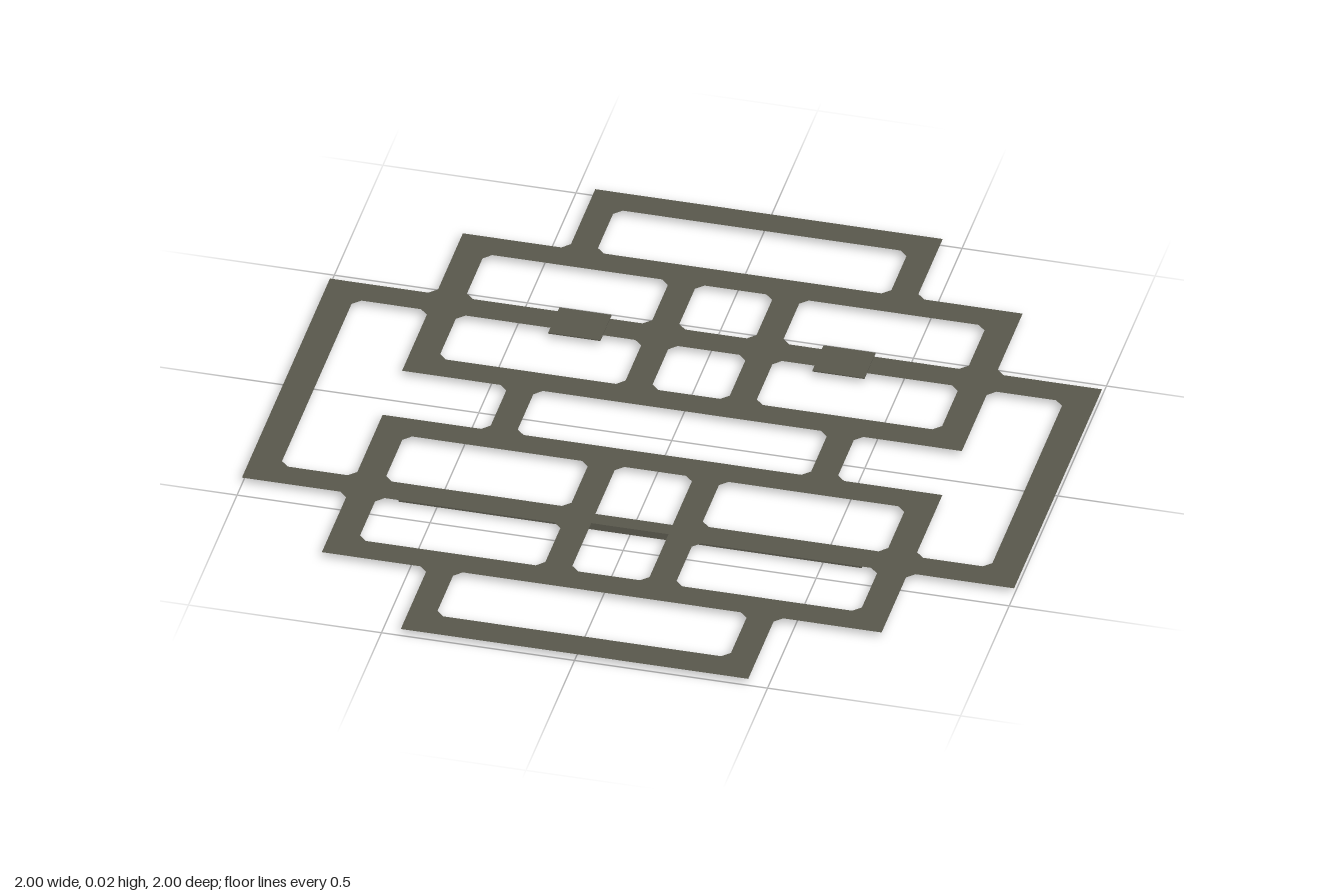
import * as THREE from 'three';

const PLANE_Y = 0.02;   // height of the flat lattice
const CHAMFER = 0.02;   // small gusset in every inside corner

// Cuts the corners that turn in the given direction; points are [x, z] pairs
function chamfered(points, turn) {
  const out = [];
  const n = points.length;
  points.forEach(([x, z], i) => {
    const [px, pz] = points[(i + n - 1) % n];
    const [nx, nz] = points[(i + 1) % n];
    const cross = (x - px) * (nz - z) - (z - pz) * (nx - x);
    if (cross * turn <= 0) return out.push(new THREE.Vector2(x, -z));
    for (const [qx, qz] of [[px, pz], [nx, nz]]) {
      const d = CHAMFER / Math.hypot(qx - x, qz - z);
      out.push(new THREE.Vector2(x + (qx - x) * d, -(z + (qz - z) * d)));
    }
  });
  return out;
}

const rect = (x0, x1, z0, z1) => [[x0, z0], [x1, z0], [x1, z1], [x0, z1]];
const mirror = (points) => points.map(([x, z]) => [-x, z]).reverse();

export function createModel() {
  const model = new THREE.Group();
  const metal = new THREE.MeshStandardMaterial({ color: 0x5a594d });
  metal.side = THREE.DoubleSide;

  const add = (name, geometry, x, y, z) => {
    const mesh = new THREE.Mesh(geometry, metal);
    mesh.name = name;
    mesh.position.set(x, y, z);
    model.add(mesh);
  };

  // Stepped outline, right half then mirrored
  const half = [
    [0.45, -1], [0.45, -0.73], [0.725, -0.73], [0.725, -0.455], [1, -0.455],
    [1, 0.45], [0.725, 0.45], [0.725, 0.72], [0.45, 0.72], [0.45, 1],
  ];
  const lattice = new THREE.Shape(chamfered([...half, ...mirror(half)], -1));

  // Openings on the centre line
  const openings = [
    rect(-0.38, 0.38, -0.925, -0.73),
    rect(-0.1, 0.1, -0.655, -0.455),
    rect(-0.1, 0.1, -0.38, -0.18),
    rect(-0.38, 0.38, -0.105, 0.095),
    rect(-0.1, 0.1, 0.17, 0.645),
    rect(-0.38, 0.38, 0.72, 0.92),
  ];
  // Openings repeated on both sides, including the stepped outer loop
  const sideOpenings = [
    rect(0.17, 0.65, -0.655, -0.455),
    rect(0.17, 0.65, -0.38, -0.18),
    rect(0.17, 0.65, 0.17, 0.375),
    rect(0.17, 0.65, 0.45, 0.645),
    [[0.725, -0.38], [0.92, -0.38], [0.92, 0.375], [0.725, 0.375],
      [0.725, 0.095], [0.45, 0.095], [0.45, -0.105], [0.725, -0.105]],
  ];
  for (const opening of sideOpenings) openings.push(opening, mirror(opening));
  for (const opening of openings) lattice.holes.push(new THREE.Path(chamfered(opening, 1)));

  add('lattice', new THREE.ShapeGeometry(lattice).rotateX(-Math.PI / 2), 0, PLANE_Y, 0);

  // Support bar under the front strip
  add('supportBar', new THREE.BoxGeometry(1.2, 0.019, 0.042), 0, 0.0095, 0.408);

  // Pair of small flat tabs across the rear strip
  for (const [side, name] of [[1, 'leftTab'], [-1, 'rightTab']]) {
    add(name, new THREE.BoxGeometry(0.135, 0.003, 0.115), side * 0.342, PLANE_Y, -0.413);
  }
  return model;
}
